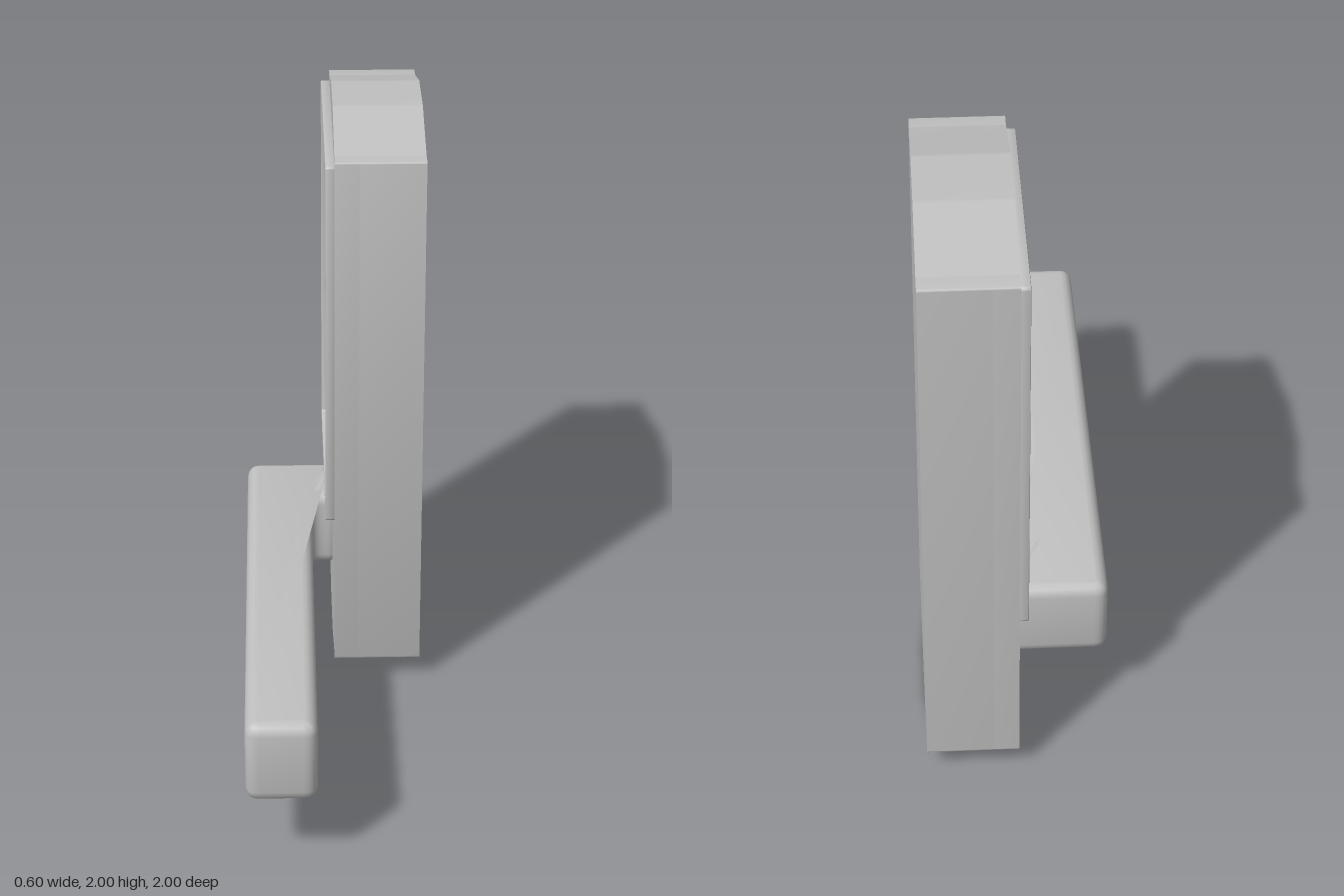
import * as THREE from 'three';
import { toCreasedNormals } from 'three/addons/utils/BufferGeometryUtils.js';
import { RoundedBoxGeometry } from 'three/addons/geometries/RoundedBoxGeometry.js';

const metal = new THREE.MeshStandardMaterial({ color: 0xc0c0c0 });
metal.name = 'satin metal';

// Closed polygon whose corners are rounded by radius r
function roundedShape(points, r) {
  const p = points.map(([x, y]) => new THREE.Vector2(x, y));
  const shape = new THREE.Shape();
  p.forEach((c, i) => {
    const toward = (q) => c.clone().add(q.clone().sub(c).setLength(r));
    const a = toward(p[(i + p.length - 1) % p.length]);
    const b = toward(p[(i + 1) % p.length]);
    if (i === 0) shape.moveTo(a.x, a.y);
    else shape.lineTo(a.x, a.y);
    shape.quadraticCurveTo(c.x, c.y, b.x, b.y);
  });
  shape.closePath();
  return shape;
}

// Extrusion of exactly the given depth, with an inward bevel
function extrude(shape, depth, bevel, segments = 2) {
  return new THREE.ExtrudeGeometry(shape, {
    depth: depth - 2 * bevel, bevelEnabled: bevel > 0, bevelSize: bevel,
    bevelThickness: bevel, bevelOffset: -bevel, bevelSegments: segments, curveSegments: 6,
  }).translate(0, 0, bevel);
}

function add(group, name, geometry) {
  const mesh = new THREE.Mesh(toCreasedNormals(geometry, 0.6), metal);
  mesh.name = name;
  group.add(mesh);
  return mesh;
}

// Slab across x, drawn in a (-z, y) profile
function slab(group, name, shape, x0, x1, bevel = 0) {
  return add(group, name, extrude(shape, x1 - x0, bevel).rotateY(Math.PI / 2).translate(x0, 0, 0));
}

const rect = (u0, u1, v0, v1) => [[u0, v0], [u1, v0], [u1, v1], [u0, v1]];

function housingShape() {
  return roundedShape([
    [0.115, 0.08], [0.17, 0.08], [0.435, 0], [0.675, 0], [0.94, 0.08], [1, 0.08],
    [1, 1.925], [0.94, 1.925], [0.675, 2], [0.435, 2], [0.17, 1.925], [0.115, 1.925],
  ], 0.008);
}

export function createModel() {
  const model = new THREE.Group();
  model.name = 'keypadDoorLock';

  // Housing: solid back and a front layer opened for the keypad
  const opening = () => roundedShape(rect(0.16, 0.955, 0.625, 1.885), 0.01);
  const front = housingShape();
  front.holes.push(opening());
  slab(model, 'housingBack', housingShape(), 0.08, 0.295);
  slab(model, 'housingFront', front, 0, 0.08);

  // Thin raised rim around the keypad
  const rim = roundedShape(rect(0.145, 0.97, 0.61, 1.9), 0.015);
  rim.holes.push(opening());
  slab(model, 'keypadRim', rim, -0.03, 0.002, 0.004);

  // Recessed keys, four rows of three
  const keys = new THREE.Group();
  keys.name = 'keys';
  model.add(keys);
  for (let row = 0; row < 4; row++) {
    for (let col = 0; col < 3; col++) {
      const key = add(keys, `key${row * 3 + col + 1}`, new RoundedBoxGeometry(0.045, 0.235, 0.25, 2, 0.012));
      key.position.set(0.0725, 1.255 + (1.5 - row) * 0.287, -0.5575 + (col - 1) * 0.272);
    }
  }

  // Bent lever handle, drawn in an (x, -z) outline
  const lever = roundedShape([
    [-0.3, 0.74], [-0.3, -1], [-0.075, -1], [-0.075, 0.48], [0.03, 0.48], [0.03, 0.74],
  ], 0.045);
  add(model, 'leverHandle', extrude(lever, 0.28, 0.04, 4).rotateX(-Math.PI / 2).translate(0, 0.25, 0));

  return model;
}
